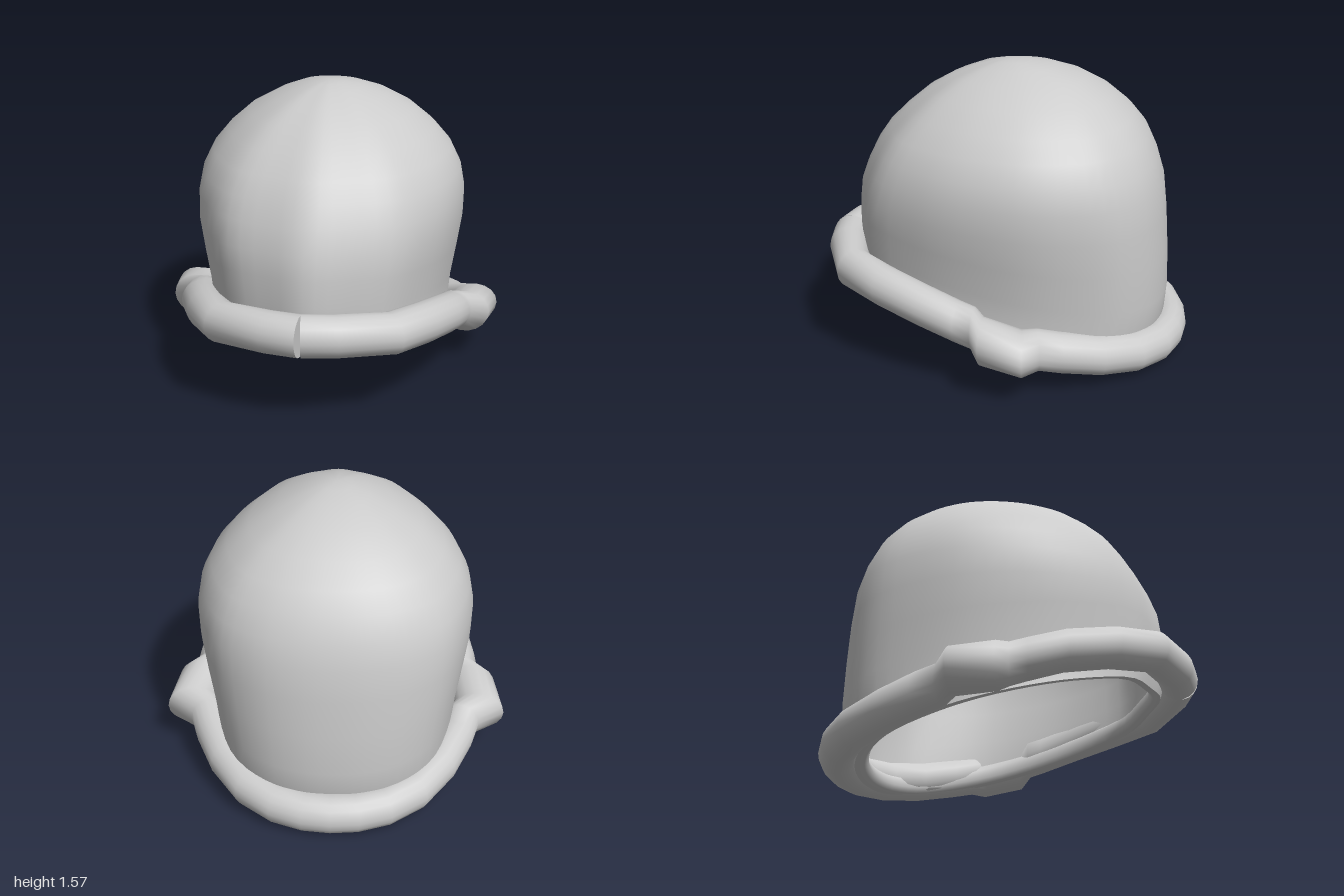
import * as THREE from 'three';
import { mergeVertices } from 'three/addons/utils/BufferGeometryUtils.js';

// skin a list of closed rings (arrays of Vector3)
function loft(rings) {
  const n = rings[0].length, pos = [], idx = [];
  for (const ring of rings) for (const p of ring) pos.push(p.x, p.y, p.z);
  for (let i = 0; i < rings.length - 1; i++) {
    for (let j = 0; j < n; j++) {
      const k = (j + 1) % n;
      const a = i * n + j, b = i * n + k, c = (i + 1) * n + k, d = (i + 1) * n + j;
      idx.push(a, b, c, a, c, d);
    }
  }
  let g = new THREE.BufferGeometry();
  g.setAttribute('position', new THREE.Float32BufferAttribute(pos, 3));
  g.setIndex(idx);
  g = mergeVertices(g, 1e-5);
  g.computeVertexNormals();
  return g;
}

// egg-shaped plan, narrower towards the front; half outline from front to back
const half = [[0, 1], [0.28, 0.93], [0.6, 0.8], [0.83, 0.5], [0.95, 0.21], [1, -0.14],
  [0.95, -0.43], [0.8, -0.72], [0.55, -0.895], [0.28, -0.977], [0, -1]];
const mirrored = half.slice(1, -1).reverse().map(([x, z]) => [-x, z]);
const plan = new THREE.CatmullRomCurve3(
  [...half, ...mirrored].map(([x, z]) => new THREE.Vector3(x, 0, z)), true);
const outline = plan.getPoints(64).slice(0, 64);

// tilted ring through a front point (zf, yf) and a back point (zb, yb), half width w
function tiltedRing([zf, yf, zb, yb, w]) {
  return outline.map((p) => {
    const t = (p.z + 1) / 2;
    return new THREE.Vector3(p.x * w, yb + (yf - yb) * t, zb + (zf - zb) * t);
  });
}

// crown levels, bottom to top
const levels = [
  [0.80, 0.41, -0.80, 0.02, 0.66],
  [0.82, 0.50, -0.87, 0.15, 0.65],
  [0.83, 0.62, -0.885, 0.35, 0.665],
  [0.825, 0.76, -0.875, 0.57, 0.695],
  [0.81, 0.88, -0.86, 0.78, 0.72],
  [0.765, 1.00, -0.84, 0.95, 0.723],
  [0.71, 1.11, -0.80, 1.08, 0.70],
  [0.64, 1.21, -0.745, 1.20, 0.645],
  [0.54, 1.31, -0.665, 1.30, 0.56],
  [0.42, 1.41, -0.55, 1.40, 0.445],
  [0.29, 1.485, -0.41, 1.485, 0.30],
  [0.16, 1.535, -0.25, 1.54, 0.175],
  [0.06, 1.56, -0.12, 1.562, 0.08],
  [-0.03, 1.57, -0.03, 1.57, 0],
];

// brim, half outline from front to back: outer x, outer z, centre y, half width, half height
const R = 0.105, H = 0.108;
const brimHalf = [
  [0.016, 1.0, 0.51, R, H], [0.2, 0.965, 0.508, R, H], [0.5, 0.83, 0.492, R, H],
  [0.65, 0.6, 0.463, R, H], [0.75, 0.35, 0.415, R, H], [0.79, 0.15, 0.36, R, H],
  [0.80, 0.06, 0.335, R, H], [0.89, 0, 0.30, 0.13, 0.12], [0.93, -0.23, 0.265, 0.14, 0.115],
  [0.79, -0.30, 0.24, R, H], [0.75, -0.42, 0.215, R, H], [0.65, -0.62, 0.17, R, H],
  [0.5, -0.81, 0.135, R, H], [0.32, -0.93, 0.115, R, H], [0.15, -0.985, 0.108, R, H],
  [0, -1.0, 0.108, R, H],
];

function brimRing([x, z, y, rw, rh]) {
  // section faces outward; the two front ends splay to leave a narrow slit
  const splay = Math.abs(x) < 0.03 ? 0.15 * Math.sign(x) : 0;
  const n = new THREE.Vector3(x / 0.5 + splay, 0, z / 0.8).normalize();
  const ring = [];
  for (let k = 0; k < 18; k++) {
    const a = -k / 18 * Math.PI * 2;
    const p = new THREE.Vector3(x, y + Math.sin(a) * rh, z);
    ring.push(p.addScaledVector(n, (Math.cos(a) - 1) * rw));
  }
  return ring;
}

function collapse(ring) {
  const c = new THREE.Vector3();
  ring.forEach((p) => c.addScaledVector(p, 1 / ring.length));
  return ring.map(() => c.clone());
}

export function createModel() {
  const group = new THREE.Group();
  const grey = new THREE.MeshStandardMaterial({ color: 0xcccccc, side: THREE.DoubleSide });
  grey.name = 'light grey';
  const add = (name, rings) => {
    const mesh = new THREE.Mesh(loft(rings), grey);
    mesh.name = name;
    group.add(mesh);
  };

  // outer crown
  add('crown', levels.map(tiltedRing));

  // inner lining, a little smaller than the crown, from apex down
  const inner = levels.slice(2).map(([zf, yf, zb, yb, w]) =>
    [zf * 0.95, yf - 0.04, zb * 0.95, yb - 0.04, w * 0.95]);
  add('lining', [[0.78, 0.50, -0.82, 0.14, 0.63], ...inner].reverse().map(tiltedRing));

  // stepped lip around the opening
  add('openingLip', [
    [0.78, 0.50, -0.82, 0.14, 0.63], [0.745, 0.48, -0.745, 0.11, 0.60],
    [0.74, 0.43, -0.73, 0.06, 0.60], [0.76, 0.41, -0.75, 0.03, 0.62],
    [0.80, 0.41, -0.80, 0.02, 0.66],
  ].map(tiltedRing));

  // rolled brim with a swelling at each side
  const other = brimHalf.slice(0, -1).reverse().map(([x, ...rest]) => [-x, ...rest]);
  const brim = [...brimHalf, ...other].map(brimRing);
  add('rolledBrim', brim);
  const last = brim[brim.length - 1];
  add('brimEndLeft', [collapse(brim[0]), brim[0]]);
  add('brimEndRight', [last, collapse(last)]);

  return group;
}
